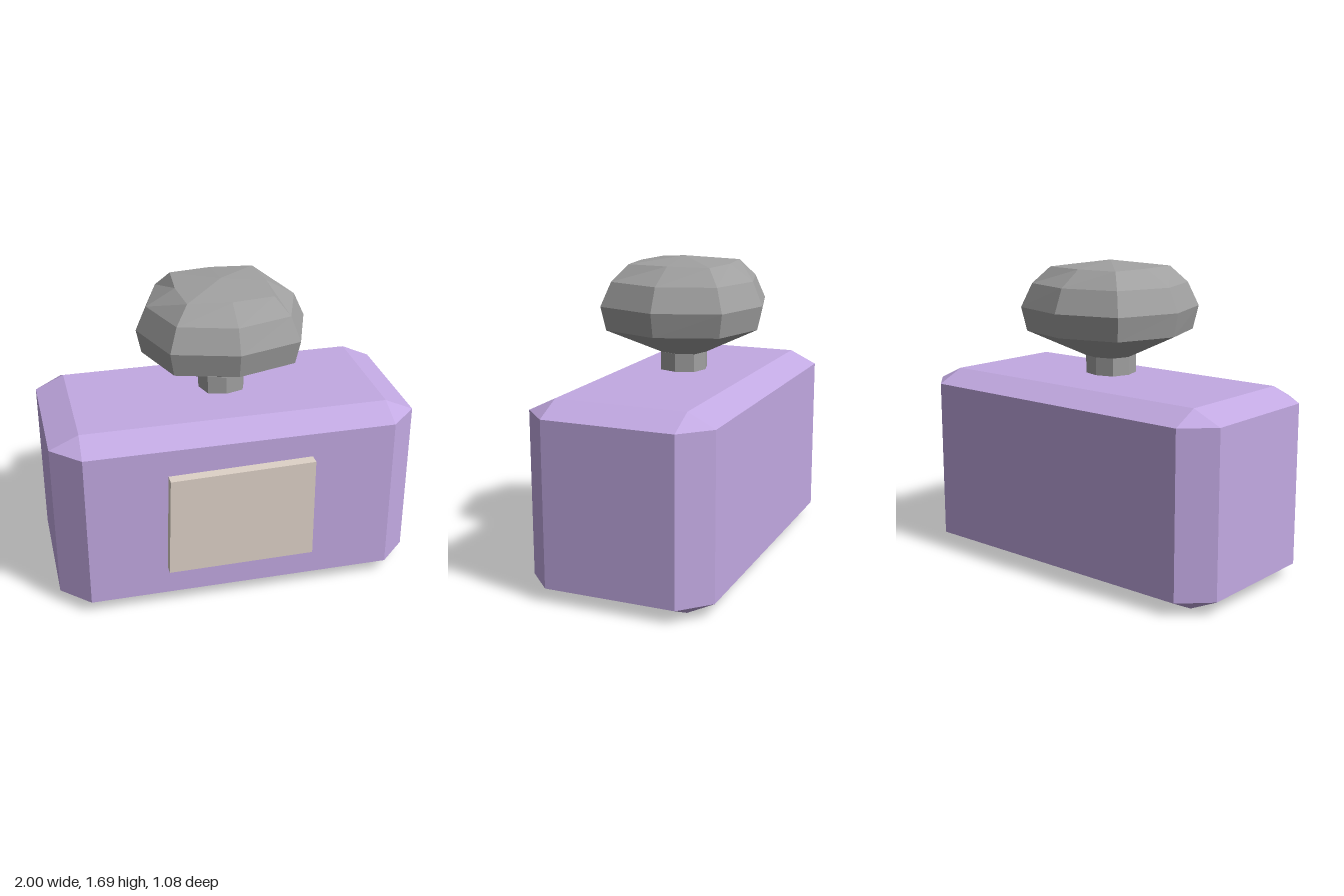
import * as THREE from 'three';

// Skin 8-point rings listed from bottom to top into a faceted surface.
function loft(rings) {
  const pos = [];
  const ab = new THREE.Vector3(), ac = new THREE.Vector3();
  const tri = (a, b, c) => {
    ab.subVectors(b, a);
    ac.subVectors(c, a);
    if (ab.cross(ac).length() < 1e-7) return; // collapsed corner
    for (const p of [a, b, c]) pos.push(p.x, p.y, p.z);
  };
  for (let i = 0; i < rings.length - 1; i++) {
    const lo = rings[i], hi = rings[i + 1];
    for (let j = 0; j < 8; j++) {
      const k = (j + 1) % 8;
      tri(lo[j], lo[k], hi[k]);
      tri(lo[j], hi[k], hi[j]);
    }
  }
  const geo = new THREE.BufferGeometry();
  geo.setAttribute('position', new THREE.Float32BufferAttribute(pos, 3));
  geo.computeVertexNormals();
  return geo;
}

// Rectangle with cut corners: half sizes hx, hz; corners cut back to cx, cz.
const cutRect = (y, hx, hz, cx, cz) => [
  [hx, cz], [hx, -cz], [cx, -hz], [-cx, -hz],
  [-hx, -cz], [-hx, cz], [-cx, hz], [cx, hz],
].map(([x, z]) => new THREE.Vector3(x, y, z));

// Eight-sided ring with points on the axes (rx, rz) and on the diagonals (d).
const gemRing = ([y, rx, rz, d]) => [
  [rx, 0], [d, -d], [0, -rz], [-d, -d],
  [-rx, 0], [-d, d], [0, rz], [d, d],
].map(([x, z]) => new THREE.Vector3(x, y, z));

export function createModel() {
  const model = new THREE.Group();
  const material = (name, color) => {
    const m = new THREE.MeshStandardMaterial({ color });
    m.name = name;
    m.flatShading = true;
    return m;
  };
  const lilac = material('lilac glass', 0xc2a9e2);
  const gray = material('gray stopper', 0xa0a0a0);
  const cream = material('cream label', 0xdfd3c8);

  const add = (name, geo, mat, x, y, z) => {
    const mesh = new THREE.Mesh(geo, mat);
    mesh.name = name;
    mesh.position.set(x, y, z);
    model.add(mesh);
  };

  // Bottle: bevelled block with cut vertical corners
  add('bottle', loft([
    cutRect(0, 0, 0, 0, 0),
    cutRect(0, 0.84, 0.36, 0.84, 0.36),
    cutRect(0.075, 1, 0.51, 0.845, 0.36),
    cutRect(0.967, 1, 0.51, 0.845, 0.36),
    cutRect(1.04, 0.84, 0.36, 0.84, 0.36),
    cutRect(1.04, 0, 0, 0, 0),
  ]), lilac, 0, 0, -0.03);

  // Neck of the stopper
  add('stopperNeck', loft([
    [1.065, 0, 0, 0],
    [1.065, 0.13, 0.127, 0.098],
    [1.165, 0.13, 0.127, 0.098],
    [1.165, 0, 0, 0],
  ].map(gemRing)), gray, 0, 0, -0.025);

  // Faceted stopper
  add('stopper', loft([
    [1.165, 0.13, 0.127, 0.098],
    [1.305, 0.44, 0.42, 0.325],
    [1.435, 0.467, 0.448, 0.347],
    [1.565, 0.408, 0.393, 0.303],
    [1.655, 0.25, 0.262, 0.232],
    [1.69, 0, 0, 0],
  ].map(gemRing)), gray, 0, 0, -0.03);

  // Slightly uneven label plate on the front
  const plate = new THREE.Shape([
    [-0.42, 0.245], [0.385, 0.25], [0.385, 0.832], [-0.402, 0.816],
  ].map(([x, y]) => new THREE.Vector2(x, y)));
  add('label', new THREE.ExtrudeGeometry(plate, { depth: 0.07, bevelEnabled: false }),
    cream, 0, 0, 0.47);

  return model;
}
